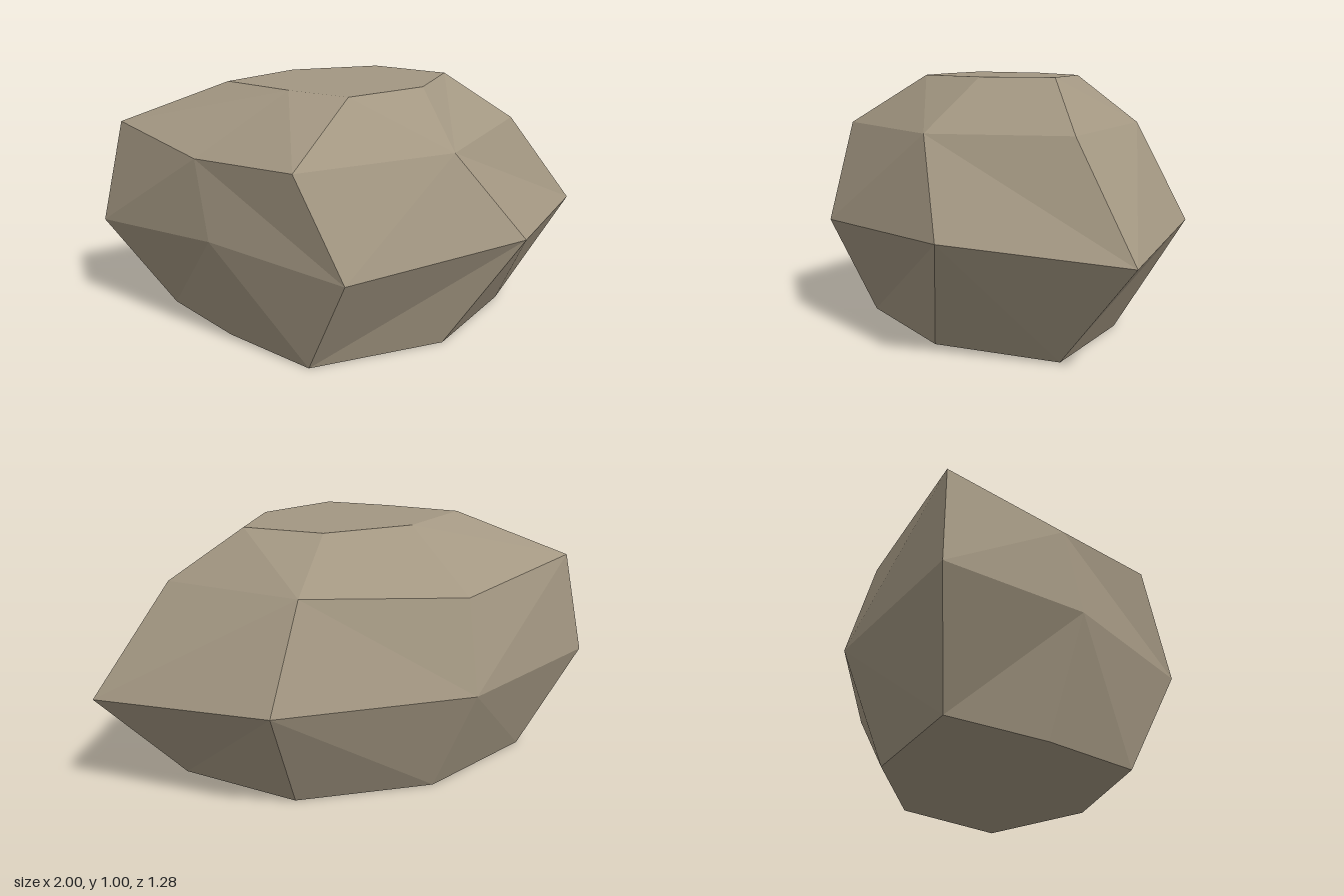
import * as THREE from 'three';

export function createModel() {
  const stone = new THREE.MeshStandardMaterial({ color: 0xa39782, flatShading: true });
  stone.name = 'warm grey stone';

  // Four seven-sided cross-sections, bottom to top, each starting at the model's right
  const rings = [
    [[-0.73, 0, -0.29], [-0.54, 0, 0.08], [-0.29, 0, 0.43], [0.27, 0, 0.36], [0.64, 0, 0.02], [0.33, 0, -0.38], [-0.21, 0, -0.48]],
    [[-1, 0.4, -0.32], [-0.62, 0.46, 0.2], [-0.2, 0.42, 0.64], [0.56, 0.45, 0.46], [1, 0.41, -0.07], [0.5, 0.45, -0.59], [-0.29, 0.42, -0.64]],
    [[-0.9, 0.82, -0.31], [-0.65, 0.77, 0.13], [-0.35, 0.8, 0.5], [0.28, 0.8, 0.4], [0.68, 0.81, -0.01], [0.34, 0.82, -0.46], [-0.3, 0.77, -0.54]],
    [[-0.48, 1, -0.13], [-0.28, 1, 0.09], [-0.09, 1, 0.26], [0.23, 1, 0.16], [0.4, 1, -0.07], [0.17, 1, -0.285], [-0.19, 1, -0.29]],
  ];
  // Facet split of each band: '/' rises to the next corner, '\' falls to it
  const splits = ['/\\/\\/\\\\', '/\\/\\/\\/', '/\\\\/\\/\\'];

  const n = 7;
  const index = [];
  splits.forEach((split, band) => {
    for (let i = 0; i < n; i++) {
      const j = (i + 1) % n;
      const a = band * n + i, b = band * n + j, c = a + n, d = b + n;
      if (split[i] === '/') index.push(a, b, d, a, d, c);
      else index.push(a, b, c, b, d, c);
    }
  });
  // Flat base and top
  const top = 3 * n;
  for (let i = 1; i < n - 1; i++) {
    index.push(0, i + 1, i, top, top + i, top + i + 1);
  }

  const shape = new THREE.BufferGeometry();
  shape.setAttribute('position', new THREE.Float32BufferAttribute(rings.flat(2), 3));
  shape.setIndex(index);
  const geometry = shape.toNonIndexed();
  geometry.computeVertexNormals();

  const rock = new THREE.Mesh(geometry, stone);
  rock.name = 'rock';
  const group = new THREE.Group();
  group.name = 'boulder';
  group.add(rock);
  return group;
}
